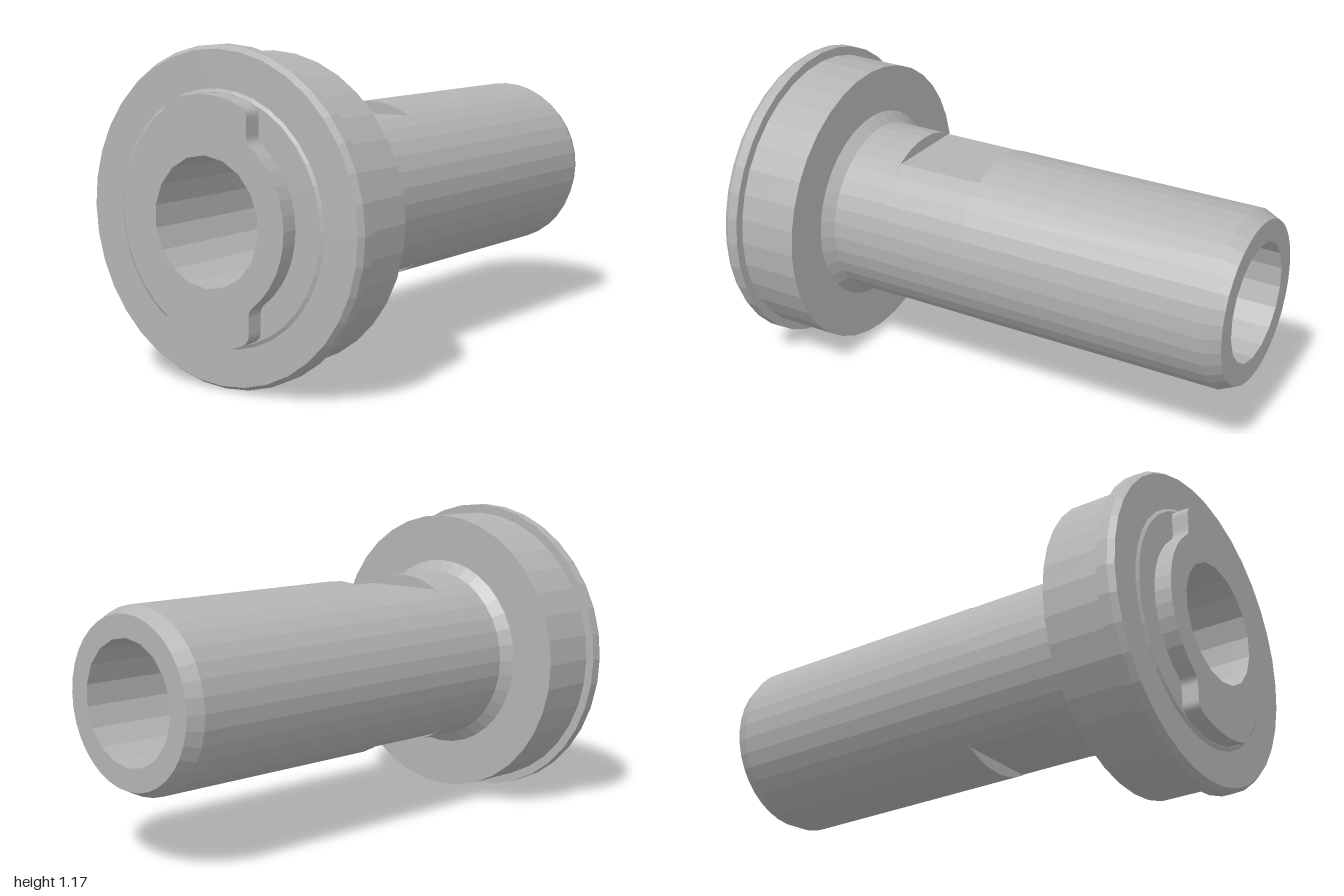
import * as THREE from 'three';

const BORE = 0.225, SHAFT = 0.333, FLAT = 0.286, AXIS_Y = 0.587;

const steel = new THREE.MeshStandardMaterial({ color: 0xb4b4b4, flatShading: true });
steel.name = 'steel';

// Flanged sleeve: closed profile of [radius, z] turned about the z axis
function sleeveGeometry() {
  const profile = [
    [BORE, -1], [0.307, -1], [SHAFT, -0.942],
    [SHAFT, 0.047], [SHAFT, 0.047], [SHAFT, 0.393], [SHAFT, 0.393],
    [SHAFT, 0.597], [0.373, 0.633], [0.553, 0.633], [0.553, 0.867],
    [0.587, 0.867], [0.587, 0.908], [0.573, 0.93], [0.442, 0.93],
    [0.43, 0.937], [BORE, 0.937], [BORE, -1],
  ];
  const geo = new THREE.LatheGeometry(profile.map(([r, z]) => new THREE.Vector2(r, z)), 36);
  geo.rotateX(Math.PI / 2);
  const pos = geo.attributes.position;
  for (let i = 0; i < pos.count; i++) {
    const row = i % profile.length, column = Math.floor(i / profile.length);
    // the bore has half as many sides as the outside
    if (profile[row][0] === BORE && column % 2) {
      const k = Math.cos(Math.PI / 18);
      pos.setXY(i, pos.getX(i) * k, pos.getY(i) * k);
    }
    // wrench flats above and below the shaft
    if (row === 4 || row === 5) pos.setY(i, THREE.MathUtils.clamp(pos.getY(i), -FLAT, FLAT));
  }
  geo.computeVertexNormals();
  return geo;
}

// Raised front collar with two opposite rounded lugs
function collarGeometry() {
  const shape = new THREE.Shape();
  const base = Math.acos(0.2 / 0.33), tip = Math.acos(0.145 / 0.427);
  const bx = 0.2, by = 0.33 * Math.sin(base), tx = 0.145, ty = 0.427 * Math.sin(tip);
  shape.moveTo(bx, -by);
  for (const [s, turn] of [[1, 0], [-1, Math.PI]]) {
    shape.absarc(0, 0, 0.33, turn - base, turn + base, false);
    shape.quadraticCurveTo(s * 0.18, s * 0.277, s * 0.18, s * 0.3);
    shape.lineTo(s * 0.18, s * 0.36);
    shape.quadraticCurveTo(s * 0.18, s * 0.388, s * tx, s * ty);
    shape.absarc(0, 0, 0.427, turn + tip, turn + Math.PI - tip, false);
    shape.quadraticCurveTo(-s * 0.18, s * 0.388, -s * 0.18, s * 0.36);
    shape.lineTo(-s * 0.18, s * 0.3);
    shape.quadraticCurveTo(-s * 0.18, s * 0.277, -s * bx, s * by);
  }
  const hole = [];
  for (let i = 0; i < 18; i++) {
    const a = -i * Math.PI / 9;
    hole.push(new THREE.Vector2(BORE * Math.sin(a), BORE * Math.cos(a)));
  }
  shape.holes.push(new THREE.Path(hole));
  const geo = new THREE.ExtrudeGeometry(shape, { depth: 0.065, bevelEnabled: false, curveSegments: 6 });
  return geo.translate(0, 0, 0.935);
}

export function createModel() {
  const group = new THREE.Group();
  group.name = 'flangedBushing';
  const add = (name, geometry) => {
    const mesh = new THREE.Mesh(geometry, steel);
    mesh.name = name;
    mesh.position.y = AXIS_Y;
    group.add(mesh);
  };
  add('flangedSleeve', sleeveGeometry());
  add('luggedCollar', collarGeometry());
  return group;
}
